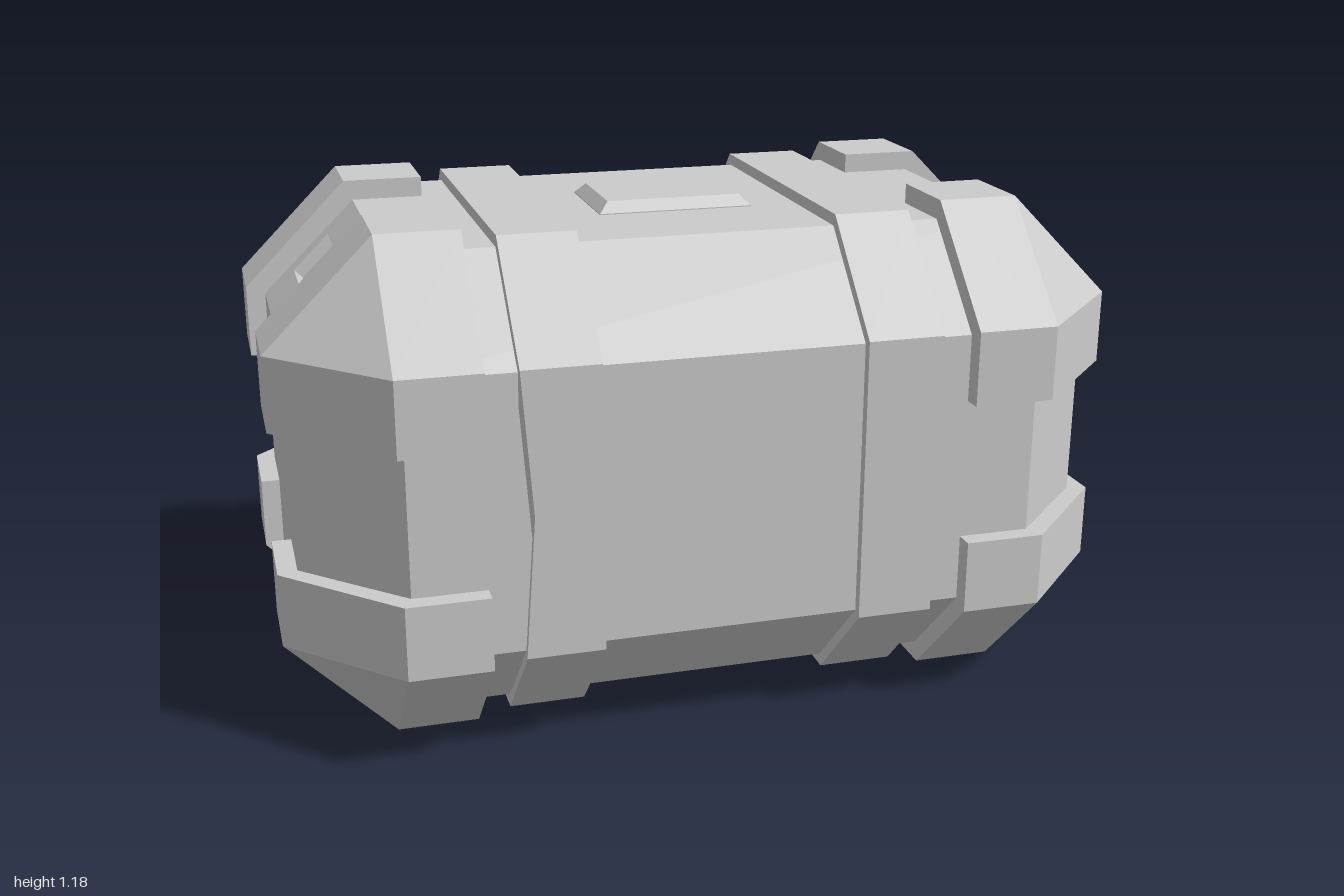
import * as THREE from 'three';
import { ConvexGeometry } from 'three/addons/geometries/ConvexGeometry.js';

const material = new THREE.MeshStandardMaterial({ color: 0xcccccc, flatShading: true });
const insideMaterial = new THREE.MeshStandardMaterial({ color: 0xcccccc, flatShading: true, side: THREE.BackSide });
const MID = 0.5925; // height of the seam between base and lid

function add(parent, name, geometry, x = 0, y = 0, z = 0) {
  const mesh = new THREE.Mesh(geometry, material);
  mesh.name = name;
  mesh.position.set(x, y, z);
  parent.add(mesh);
  return mesh;
}

const convex = (points) => new ConvexGeometry(points.map((p) => new THREE.Vector3(...p)));

// Half of the chamfered body, above (up = 1) or below (up = -1) the seam
function halfBody(up) {
  const points = [];
  const shoulder = MID + up * 0.325, end = MID + up * 0.545;
  for (const sx of [-1, 1]) for (const sz of [-1, 1]) {
    for (const y of [MID, shoulder]) {
      points.push([sx * 0.73, y, sz * 0.605], [sx * 0.955, y, sz * 0.385]);
    }
    points.push([sx * 0.73, end, sz * 0.385]);
  }
  return convex(points);
}

// Drops the sloped face on the -x end, to be replaced by a panel with a recess
function openSlope(geometry) {
  const p = geometry.attributes.position, kept = [];
  const tri = new THREE.Triangle(), n = new THREE.Vector3();
  for (let i = 0; i < p.count; i += 3) {
    tri.setFromAttributeAndIndices(p, i, i + 1, i + 2).getNormal(n);
    if (n.x < -0.5 && n.y > 0.5 && Math.abs(n.z) < 0.1) continue;
    for (const v of [tri.a, tri.b, tri.c]) kept.push(v.clone());
  }
  const open = new THREE.BufferGeometry().setFromPoints(kept);
  open.computeVertexNormals();
  return open;
}

// Chamfered block that wraps one corner
function cornerGuard(sx, up, sz) {
  const low = 0.1675, edge = 0.3425, top = 0.5925;
  return convex([
    [0.56, low, 0.2], [0.56, low, 0.65], [0.56, edge, 0.65], [0.56, top, 0.4], [0.56, top, 0.2],
    [1, low, 0.2], [1, edge, 0.2], [0.75, top, 0.2],
    [0.75, low, 0.65], [1, low, 0.4],
    [0.75, edge, 0.65], [0.75, top, 0.4], [1, edge, 0.4],
  ].map(([x, y, z]) => [sx * x, MID + up * y, sz * z]));
}

// Strap around the body, its outer edge pinched in at the seam
function strapGeometry(side) {
  const profile = [
    [0.628, 0], [0.628, 0.335], [0.395, 0.573], [-0.395, 0.573], [-0.628, 0.335],
    [-0.628, 0], [-0.628, -0.335], [-0.395, -0.573], [0.395, -0.573], [0.628, -0.335],
  ].map(([z, y]) => new THREE.Vector2(z, y));
  const g = new THREE.ExtrudeGeometry(new THREE.Shape(profile), { depth: 0.18, bevelEnabled: false });
  const p = g.attributes.position;
  for (let i = 0; i < p.count; i++) {
    const outer = side > 0 ? p.getZ(i) > 0.1 : p.getZ(i) < 0.1;
    if (Math.abs(p.getY(i)) < 0.01 && outer) p.setZ(i, p.getZ(i) - side * 0.025);
  }
  // extrusion runs along x after the turn, mirrored profile keeps its shape
  g.translate(0, 0, -0.09).rotateY(Math.PI / 2);
  g.computeVertexNormals();
  return g;
}

// Group lying on an end slope, local z pointing away from the surface
function slopeGroup(parent, name, side) {
  const g = new THREE.Group();
  g.name = name;
  g.position.set(side * 0.8425, 1.0275, 0);
  g.rotation.set(-Math.atan2(0.225, 0.22), (side * Math.PI) / 2, 0, 'YXZ');
  parent.add(g);
  return g;
}

export function createModel() {
  const model = new THREE.Group();
  model.name = 'crate';

  add(model, 'base', halfBody(-1));
  add(model, 'lid', openSlope(halfBody(1)));

  // Reinforced corners
  for (const sx of [-1, 1]) for (const up of [-1, 1]) for (const sz of [-1, 1]) {
    add(model, 'cornerGuard', cornerGuard(sx, up, sz));
  }

  // Straps and the hinges behind them
  for (const side of [-1, 1]) {
    add(model, 'strap', strapGeometry(side), side * 0.393, MID, 0);
    const hinge = new THREE.CylinderGeometry(0.045, 0.045, 0.23, 12).rotateZ(Math.PI / 2);
    add(model, 'hinge', hinge, side * 0.397, 0.598, -0.606);
  }

  // Bevelled panel on the lid
  const panel = [];
  for (const sx of [-1, 1]) for (const sz of [-1, 1]) {
    panel.push([sx * 0.187, 1.13, sz * 0.135], [sx * 0.187, 1.14, sz * 0.135], [sx * 0.163, 1.165, sz * 0.112]);
  }
  add(model, 'topPanel', convex(panel));

  // Carry handle on the +x slope
  const handle = slopeGroup(model, 'handle', 1);
  add(handle, 'handlePlate', new THREE.BoxGeometry(0.24, 0.035, 0.02), 0, 0.005, 0.005);
  add(handle, 'handleBar', new THREE.CylinderGeometry(0.018, 0.018, 0.28, 8).rotateZ(Math.PI / 2), 0, 0.006, 0.042);
  for (const s of [-1, 1]) {
    add(handle, 'handleLeg', new THREE.BoxGeometry(0.03, 0.025, 0.045), s * 0.1, 0.005, 0.022);
  }

  // Sloped panel with a hand recess on the -x slope
  const recess = slopeGroup(model, 'handRecess', -1);
  const rect = (S, w, h) => new S([[-w, -h], [w, -h], [w, h], [-w, h]].map((c) => new THREE.Vector2(...c)));
  const slope = rect(THREE.Shape, 0.385, Math.hypot(0.225, 0.22) / 2);
  slope.holes.push(rect(THREE.Path, 0.14, 0.06));
  add(recess, 'slopePanel', new THREE.ShapeGeometry(slope));
  const pocket = add(recess, 'recessPocket', new THREE.BoxGeometry(0.28, 0.12, 0.028), 0, 0, -0.014);
  pocket.material = insideMaterial;

  return model;
}
